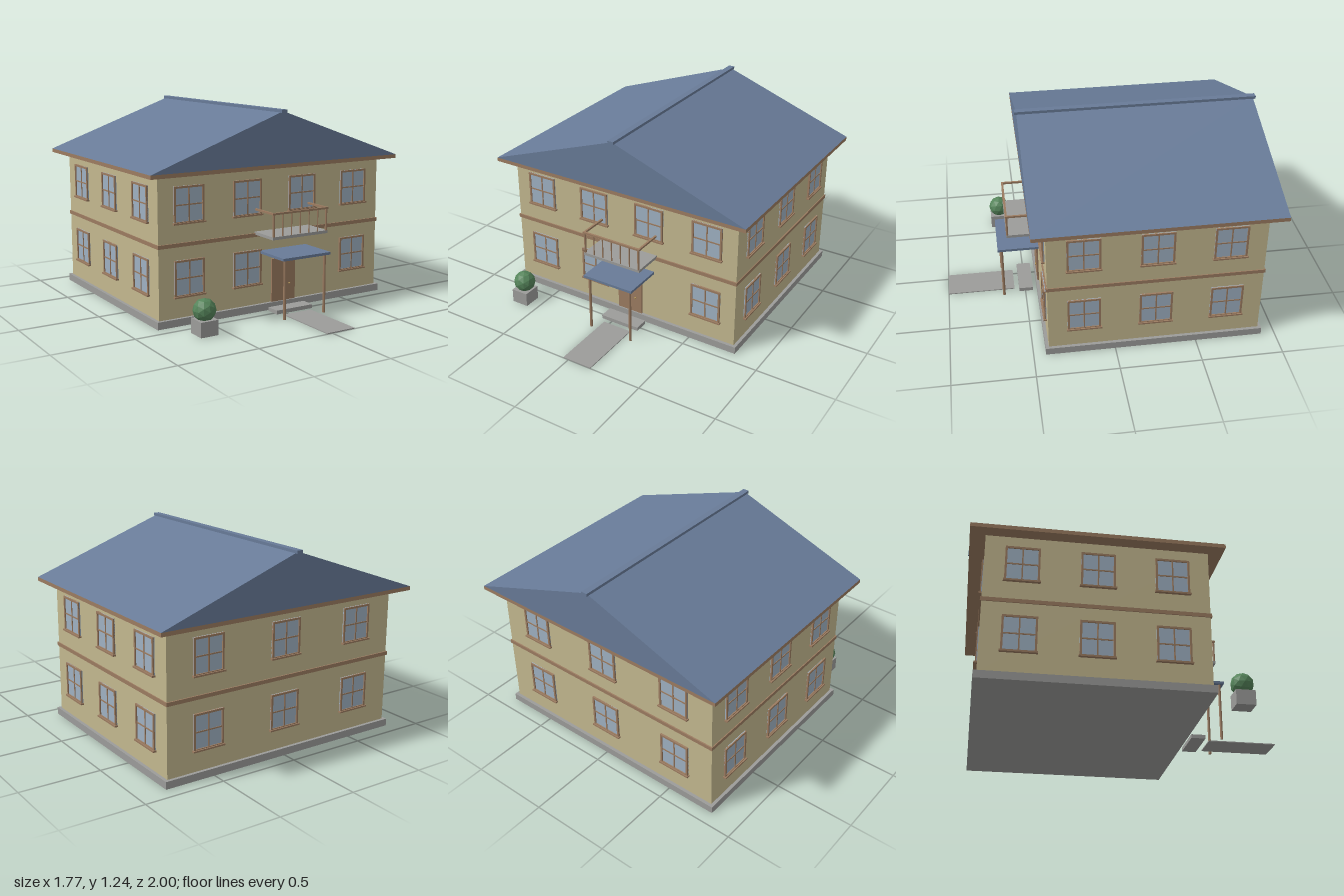
import * as THREE from 'three';

const mat = (name, color) => {
  const m = new THREE.MeshStandardMaterial({ color });
  m.name = name;
  return m;
};

export function createModel() {
  const house = new THREE.Group();
  house.name = 'house';

  const wall = mat('cream wall', 0xc3b88f);
  const roofBlue = mat('slate blue roof', 0x687b98);
  const wood = mat('brown wood', 0x9c7c61);
  const glass = mat('window glass', 0x9fb1c2);
  const stone = mat('grey stone', 0x9c9c9a);
  const leaf = mat('green leaf', 0x55845a);
  const brass = mat('brass', 0xb89a5a);
  leaf.flatShading = true;

  const add = (parent, name, geometry, material, x = 0, y = 0, z = 0) => {
    const mesh = new THREE.Mesh(geometry, material);
    mesh.name = name;
    mesh.position.set(x, y, z);
    parent.add(mesh);
    return mesh;
  };
  // Box given by its limits on each axis
  const box = (parent, name, material, [x0, x1], [y0, y1], [z0, z1]) =>
    add(parent, name, new THREE.BoxGeometry(x1 - x0, y1 - y0, z1 - z0), material,
      (x0 + x1) / 2, (y0 + y1) / 2, (z0 + z1) / 2);

  // Main body
  const zc = -0.245;
  box(house, 'foundation', stone, [-0.82, 0.82], [0, 0.045], [-0.915, 0.425]);
  box(house, 'walls', wall, [-0.8, 0.8], [0.045, 0.89], [-0.895, 0.405]);
  box(house, 'floorBand', wood, [-0.806, 0.806], [0.47, 0.493], [-0.903, 0.413]);

  // Gabled roof on an eave slab
  box(house, 'eave', wood, [-0.885, 0.885], [0.89, 0.914], [-0.985, 0.492]);
  const gable = new THREE.Shape([
    new THREE.Vector2(-0.885, 0.914),
    new THREE.Vector2(0.885, 0.914),
    new THREE.Vector2(0, 1.23),
  ]);
  add(house, 'roof', new THREE.ExtrudeGeometry(gable, { depth: 1.477, bevelEnabled: false }),
    roofBlue, 0, 0, -0.985);
  box(house, 'ridgeCap', roofBlue, [-0.02, 0.02], [1.222, 1.24], [-1, 0.505]);

  // Window facing +z, centred on its own origin
  const makeWindow = () => {
    const g = new THREE.Group();
    g.name = 'window';
    const w = 0.1, h = 0.11, t = 0.012;
    box(g, 'pane', glass, [-w, w], [-h, h], [0, 0.005]);
    for (const s of [-1, 1]) {
      const x = s * (w - t / 2), y = s * (h - t / 2);
      box(g, 'frameSide', wood, [x - t / 2, x + t / 2], [-h, h], [0, 0.012]);
      box(g, 'frameRail', wood, [-w + t, w - t], [y - t / 2, y + t / 2], [0, 0.012]);
    }
    box(g, 'mullion', wood, [-0.004, 0.004], [-h + t, h - t], [0, 0.009]);
    box(g, 'transom', wood, [-w + t, w - t], [-0.004, 0.004], [0, 0.0085]);
    box(g, 'sill', wood, [-0.106, 0.106], [-h - 0.003, -h + 0.007], [0, 0.02]);
    return g;
  };

  // Windows on each side: turn, distance from the centre, offsets along the wall
  const sides = [
    ['front', 0, 0.65, [-0.6, -0.2, 0.2, 0.6]],
    ['left', Math.PI / 2, 0.8, [-0.433, 0, 0.433]],
    ['back', Math.PI, 0.65, [-0.533, 0, 0.533]],
    ['right', -Math.PI / 2, 0.8, [-0.433, 0, 0.433]],
  ];
  for (const [name, turn, distance, offsets] of sides) {
    const side = new THREE.Group();
    side.name = name + 'Windows';
    side.position.z = zc;
    side.rotation.y = turn;
    for (const y of [0.28, 0.715]) {
      for (const x of offsets) {
        if (name === 'front' && y < 0.5 && x === 0.2) continue; // entrance bay
        const win = makeWindow();
        win.position.set(x, y, distance);
        side.add(win);
      }
    }
    house.add(side);
  }

  // Entrance
  const ex = 0.0625;
  box(house, 'door', wood, [ex - 0.087, ex + 0.087], [0.045, 0.318], [0.4, 0.416]);
  add(house, 'doorKnob', new THREE.SphereGeometry(0.006, 10, 8), brass, 0.105, 0.15, 0.42);
  box(house, 'canopy', roofBlue, [ex - 0.173, ex + 0.173], [0.364, 0.38], [0.405, 0.665]);
  for (const s of [-1, 1]) {
    add(house, 'canopyPost', new THREE.CylinderGeometry(0.009, 0.009, 0.364, 10), wood,
      ex + s * 0.146, 0.182, 0.64);
  }
  box(house, 'step', stone, [ex - 0.133, ex + 0.133], [0.003, 0.027], [0.45, 0.54]);
  box(house, 'walkway', stone, [ex - 0.098, ex + 0.098], [0, 0.006], [0.57, 1]);

  // Balcony with railing
  const bx = 0.055;
  box(house, 'balconyFloor', stone, [bx - 0.2, bx + 0.2], [0.484, 0.502], [0.405, 0.605]);
  box(house, 'frontRail', wood, [bx - 0.203, bx + 0.203], [0.634, 0.646], [0.594, 0.607]);
  for (const s of [-1, 1]) {
    const x = bx + s * 0.196;
    box(house, 'sideRail', wood, [x - 0.006, x + 0.006], [0.634, 0.646], [0.405, 0.594]);
  }
  for (let i = -3; i <= 3; i++) {
    const r = Math.abs(i) === 3 ? 0.007 : 0.004;
    add(house, 'baluster', new THREE.CylinderGeometry(r, r, 0.134, 8), wood,
      bx + i * 0.064, 0.568, 0.599);
  }

  // Planter and bush
  box(house, 'planter', stone, [-0.68, -0.567], [0, 0.09], [0.567, 0.683]);
  add(house, 'bush', new THREE.IcosahedronGeometry(0.069, 1), leaf, -0.623, 0.142, 0.622);

  return house;
}
